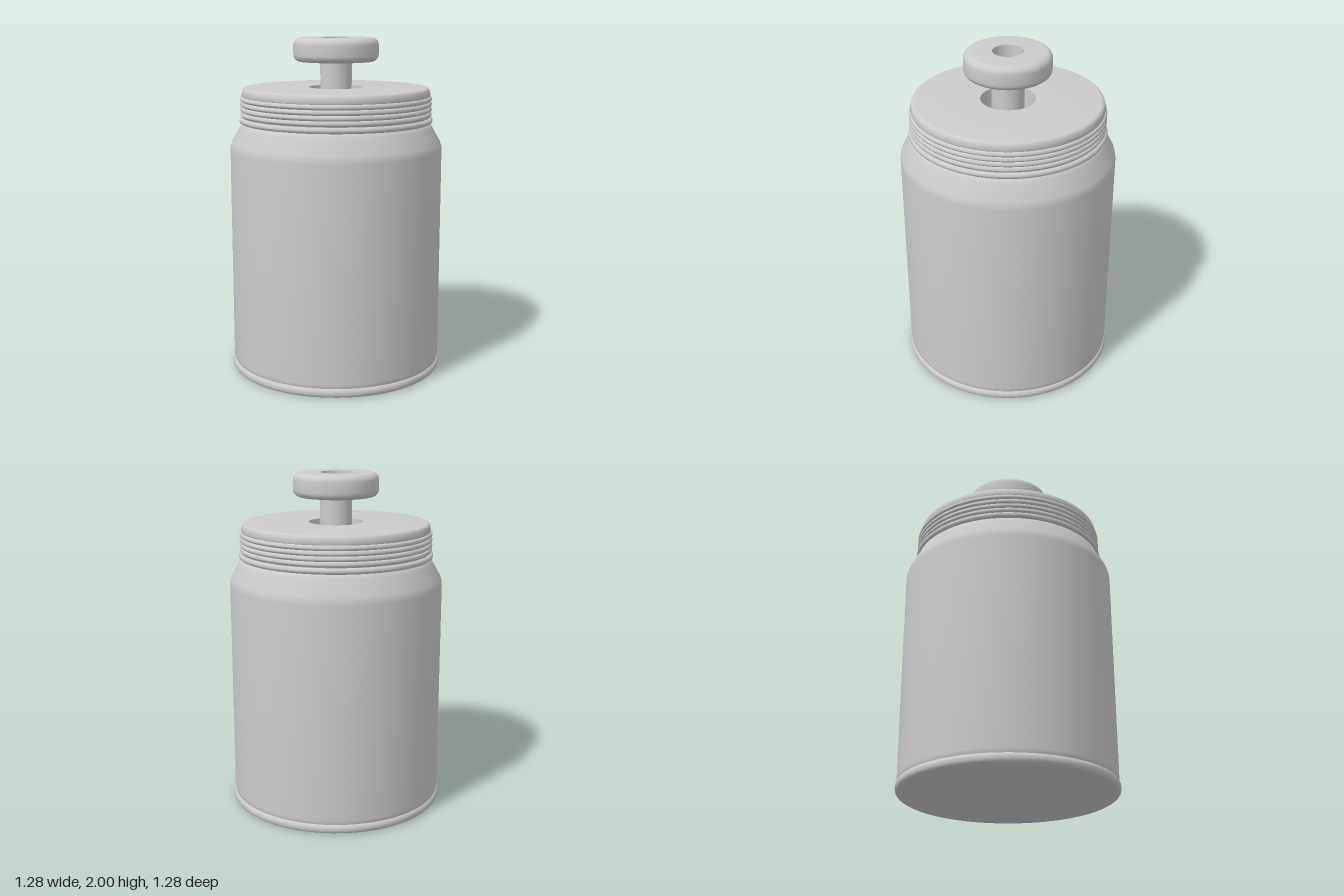
import * as THREE from 'three';
import { toCreasedNormals } from 'three/addons/utils/BufferGeometryUtils.js';

const material = new THREE.MeshStandardMaterial({ color: 0xcccccc });

// Revolve a [radius, height] profile, listed from the bottom, out and up
function turned(name, profile, sides, crease = 0.7) {
  const points = profile.map(([r, y]) => new THREE.Vector2(r, y));
  const geometry = toCreasedNormals(new THREE.LatheGeometry(points, sides), crease);
  const mesh = new THREE.Mesh(geometry, material);
  mesh.name = name;
  return mesh;
}

// Rounded corner of a profile, between two angles in degrees
function arc(r, y, radius, from, to, steps = 6) {
  return Array.from({ length: steps + 1 }, (_, i) => {
    const a = THREE.MathUtils.degToRad(from + (to - from) * i / steps);
    return [r + radius * Math.cos(a), y + radius * Math.sin(a)];
  });
}

export function createModel() {
  const group = new THREE.Group();
  group.name = 'jar';

  // Body with a dished base, a rolled foot rim and a sloping shoulder
  const dish = [0, 0.1, 0.2, 0.3, 0.4, 0.5, 0.57].map((r) => [r, 0.05 * (1 - (r / 0.6) ** 2)]);
  group.add(turned('body', [
    ...dish, [0.6, 0.001],
    ...arc(0.618, 0.024, 0.024, -90, 0, 4),
    ...arc(0.618, 0.034, 0.024, 0, 60, 4),
    [0.632, 0.06], [0.633, 0.08], [0.633, 1.34],
    [0.632, 1.36], [0.625, 1.387], [0.575, 1.475], [0.567, 1.495], [0.55, 1.505],
  ], 64));

  // Collar bead under the lid
  const collar = new THREE.Mesh(new THREE.TorusGeometry(0.56, 0.018, 10, 64), material);
  collar.name = 'collar';
  collar.rotation.x = Math.PI / 2;
  collar.position.y = 1.517;
  group.add(collar);

  // Lid: ridged side, rounded top edge and a well around the stem
  const ridges = [];
  for (let i = 0; i < 4; i++) ridges.push(...arc(0.556, 1.553 + i * 0.03, 0.015, -80, 80, 6));
  group.add(turned('lid', [
    [0.555, 1.505], [0.558, 1.537], ...ridges, [0.562, 1.664],
    [0.558, 1.685], ...arc(0.535, 1.688, 0.022, 10, 90, 5),
    [0.16, 1.71], [0.16, 1.5], [0, 1.5],
  ], 64, 0.8));

  // Hollow stem, whose upper end shows inside the knob
  group.add(turned('stem', [
    [0.094, 1.5], [0.094, 1.88], [0.045, 1.88], [0.045, 1.6], [0, 1.6],
  ], 32));

  // Rounded knob with a bore through the middle
  group.add(turned('knob', [
    [0.09, 1.86],
    ...arc(0.213, 1.9, 0.04, -90, 0),
    ...arc(0.213, 1.96, 0.04, 0, 90),
    [0.09, 2], [0.09, 1.86],
  ], 28));

  return group;
}
